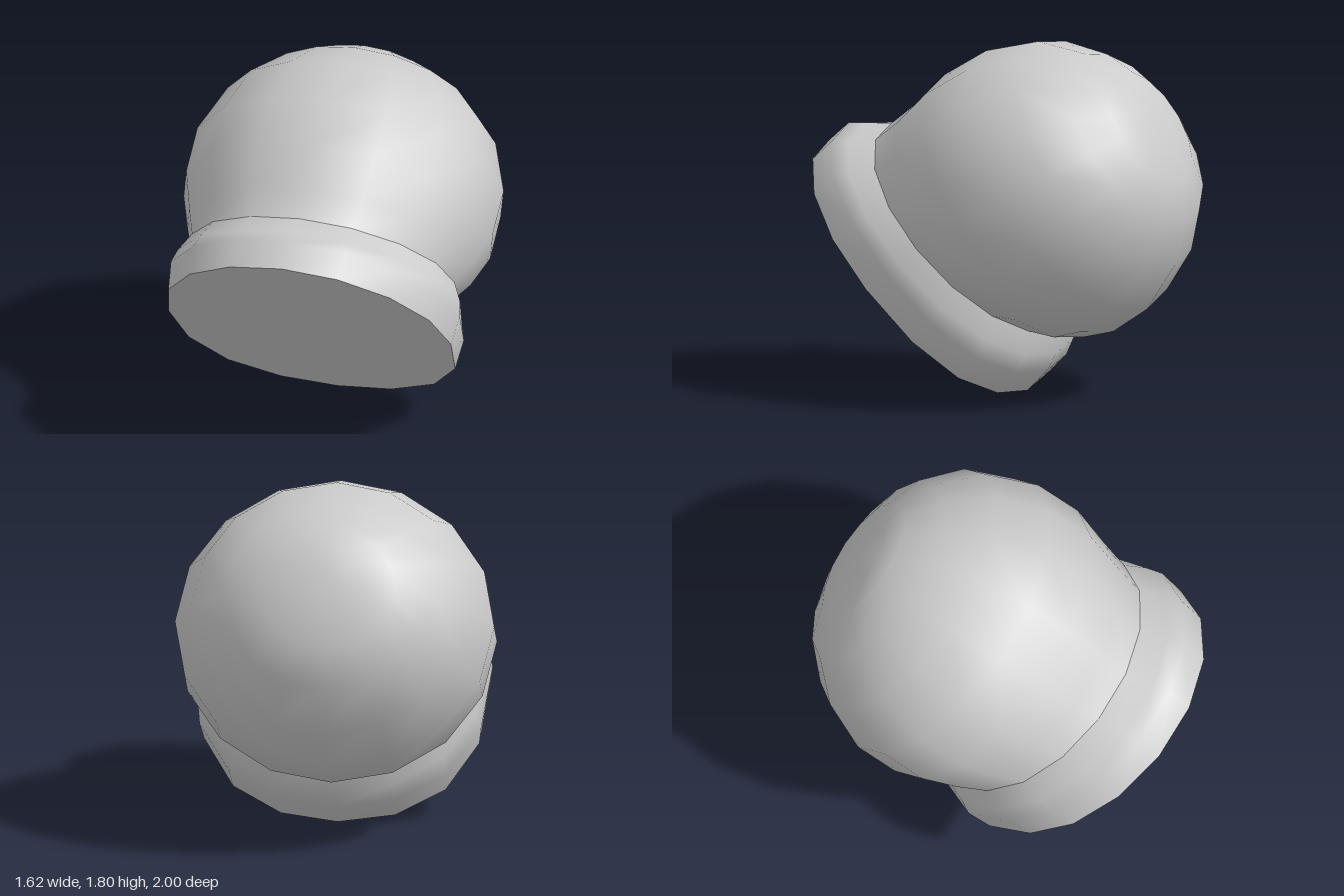
import * as THREE from 'three';
import { mergeVertices } from 'three/addons/utils/BufferGeometryUtils.js';

const SIDES = 16;

// Each ring: top z, top y, bottom z, bottom y, half width, squareness of the lower half
const bandRings = [
  [1.0, 1.2, -0.11, 0.0, 0.74, 1],
  [0.89, 1.3, -0.22, 0.11, 0.757, 1],
  [0.8, 1.306, -0.27, 0.2, 0.74, 0.5],
  [0.65, 1.315, -0.28, 0.32, 0.69, 0],
];
const domeRings = [
  [0.65, 1.315, -0.28, 0.32, 0.69, 0],
  [0.52, 1.42, -0.43, 0.3, 0.745, 0],
  [0.35, 1.59, -0.59, 0.34, 0.81, 0],
  [0.12, 1.73, -0.78, 0.47, 0.81, 0],
  [-0.17, 1.8, -0.93, 0.7, 0.71, 0],
  [-0.44, 1.755, -1.0, 0.94, 0.53, 0],
  [-0.62, 1.68, -0.97, 1.14, 0.34, 0],
  [-0.71, 1.61, -0.9, 1.31, 0.18, 0],
  [-0.81, 1.48, -0.81, 1.48, 0, 0],
];

// Points of one tilted elliptical ring, anticlockwise seen from the opening
function ringPoints([tz, ty, bz, by, width, square]) {
  return Array.from({ length: SIDES }, (_, j) => {
    const t = (j / SIDES) * Math.PI * 2;
    const c = Math.cos(t), s = Math.sin(t);
    const k = s < 0 ? square : 0;
    const x = width * c * (1 + 0.03 * k * Math.abs(Math.sin(2 * t)));
    const v = s * (1 + 0.16 * k * c * c);
    return new THREE.Vector3(x, (ty + by) / 2 + (v * (ty - by)) / 2, (tz + bz) / 2 + (v * (tz - bz)) / 2);
  });
}

// Smooth skin over a list of rings
function loft(rings) {
  const index = [];
  for (let i = 0; i < rings.length - 1; i++) {
    for (let j = 0; j < SIDES; j++) {
      const n = (j + 1) % SIDES;
      const a = i * SIDES + j, b = i * SIDES + n;
      index.push(a, a + SIDES, b, b, a + SIDES, b + SIDES);
    }
  }
  let geometry = new THREE.BufferGeometry().setFromPoints(rings.flatMap(ringPoints));
  geometry.setIndex(index);
  geometry = mergeVertices(geometry, 1e-4);
  geometry.computeVertexNormals();
  return geometry;
}

// Fan that closes the opening
function disc(ring) {
  const [tz, ty, bz, by] = ring;
  const points = [...ringPoints(ring), new THREE.Vector3(0, (ty + by) / 2, (tz + bz) / 2)];
  const index = [];
  for (let j = 0; j < SIDES; j++) index.push(SIDES, j, (j + 1) % SIDES);
  const geometry = new THREE.BufferGeometry().setFromPoints(points);
  geometry.setIndex(index);
  geometry.computeVertexNormals();
  return geometry;
}

export function createModel() {
  const group = new THREE.Group();
  const material = new THREE.MeshStandardMaterial({ color: 0xcccccc });
  const add = (name, geometry) => {
    const mesh = new THREE.Mesh(geometry, material);
    mesh.name = name;
    group.add(mesh);
  };
  add('dome', loft(domeRings));
  add('band', loft(bandRings));
  add('opening', disc(bandRings[0]));
  return group;
}
